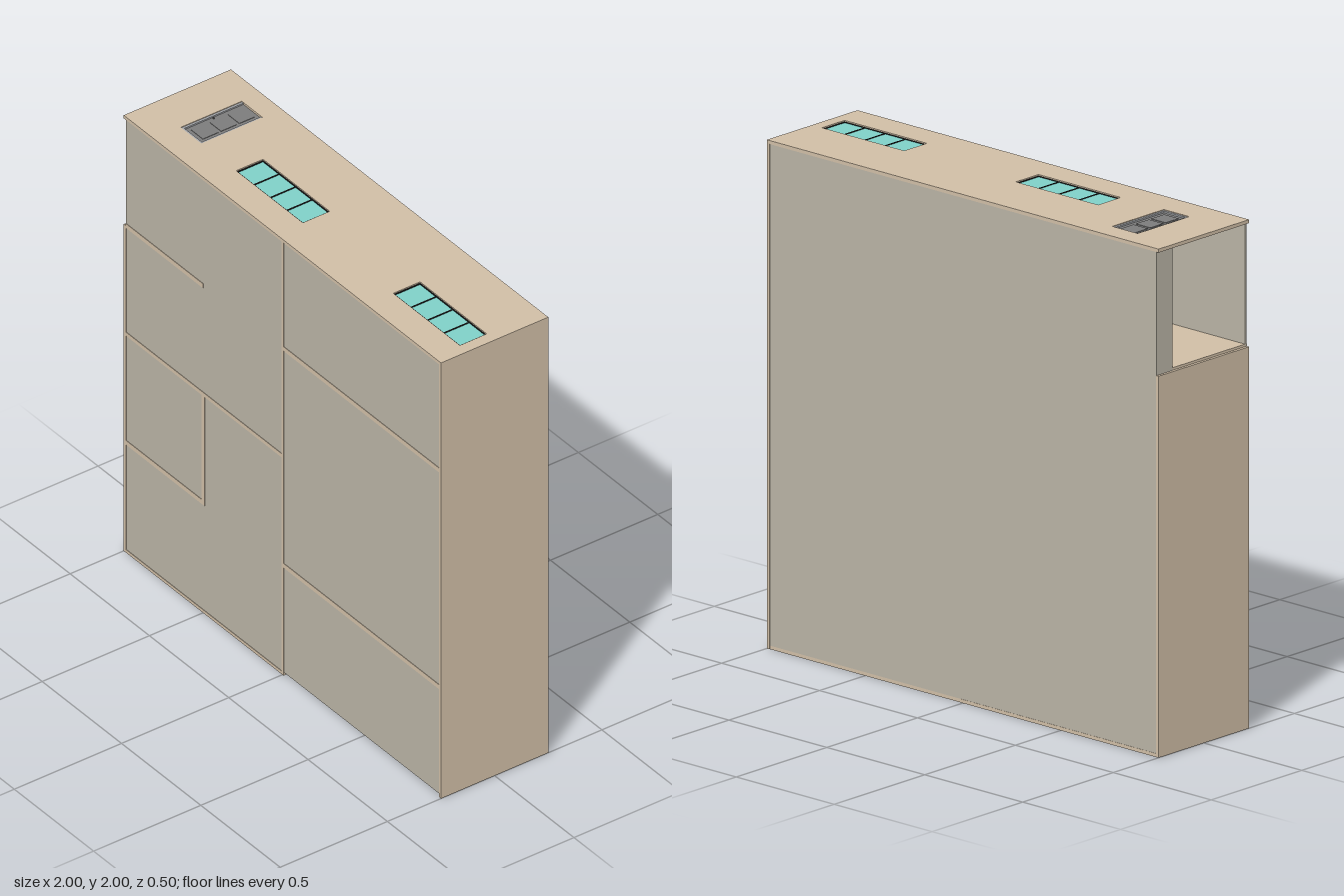
import * as THREE from 'three';

const mat = (color) => new THREE.MeshStandardMaterial({ color });
const TAN = mat(0xd0bea6), STONE = mat(0xb9b3a5), TEAL = mat(0x7fd0c8);
const BLACK = mat(0x151515), GREY = mat(0x7c7c7c), PALE = mat(0xa4a7ab), DARK = mat(0x4a4a4a);
const T = 0.014; // wall thickness

export function createModel() {
  const model = new THREE.Group();

  // Box given by its extents on each axis
  function box(name, x0, x1, y0, y1, z0, z1, material, parent = model) {
    const mesh = new THREE.Mesh(new THREE.BoxGeometry(x1 - x0, y1 - y0, z1 - z0), material);
    mesh.position.set((x0 + x1) / 2, (y0 + y1) / 2, (z0 + z1) / 2);
    mesh.name = name;
    parent.add(mesh);
    return mesh;
  }

  // Horizontal slab with rectangular openings [x0, x1, z0, z1]
  function facade(name, x0, x1, top, openings) {
    const rect = (C, a, b, c, d) => {
      const p = new C();
      p.moveTo(a, c); p.lineTo(b, c); p.lineTo(b, d); p.lineTo(a, d); p.closePath();
      return p;
    };
    const shape = rect(THREE.Shape, x0, x1, -0.25, 0.25);
    openings.forEach((o) => shape.holes.push(rect(THREE.Path, ...o)));
    const geo = new THREE.ExtrudeGeometry(shape, { depth: T, bevelEnabled: false });
    geo.rotateX(Math.PI / 2);
    const mesh = new THREE.Mesh(geo, TAN);
    mesh.position.y = top;
    mesh.name = name;
    model.add(mesh);
  }

  // Glazed window with four panes, set into a facade opening
  function windowUnit([x0, x1, z0, z1], yMid) {
    const g = new THREE.Group();
    g.name = 'window';
    box('glass', x0, x1, yMid - 0.002, yMid + 0.002, z0, z1, TEAL, g);
    for (let i = 0; i <= 4; i++) {
      const x = x0 + 0.003 + (x1 - x0 - 0.006) * i / 4;
      box('mullion', x - 0.003, x + 0.003, yMid - 0.004, yMid + 0.004, z0, z1, BLACK, g);
    }
    for (const z of [z0, z1 - 0.005])
      box('windowRail', x0, x1, yMid - 0.004, yMid + 0.004, z, z + 0.005, BLACK, g);
    model.add(g);
  }

  // Upper facade: two windows and a door
  const upper = [[-0.46, -0.04, 0, 0.125], [0.53, 0.95, 0, 0.125]];
  const doorway = [-0.81, -0.68, -0.16, 0.125];
  facade('upperFacade', -1, 1, 2, [...upper, doorway]);
  upper.forEach((o) => windowUnit(o, 1.991));

  // Lower facade: two tall windows on one half, open balcony on the other
  const lower = [[-0.46, -0.04, -0.14, 0.13], [-0.96, -0.54, -0.14, 0.13]];
  facade('lowerFacade', -1, 0.007, T, lower);
  lower.forEach((o) => windowUnit(o, 0.007));

  // Panelled door with frame and knob
  const door = new THREE.Group();
  door.name = 'door';
  box('doorLeaf', -0.80, -0.69, 1.986, 1.991, -0.16, 0.115, GREY, door);
  box('doorJamb', -0.81, -0.80, 1.985, 1.997, -0.16, 0.125, PALE, door);
  box('doorJamb', -0.69, -0.68, 1.985, 1.997, -0.16, 0.125, PALE, door);
  box('doorHead', -0.80, -0.69, 1.985, 1.997, 0.115, 0.125, PALE, door);
  for (const z of [-0.145, -0.06, 0.025])
    box('doorPanel', -0.782, -0.708, 1.991, 1.993, z, z + 0.072, GREY, door);
  const knob = new THREE.Mesh(new THREE.SphereGeometry(0.004, 10, 8), DARK);
  knob.position.set(-0.792, 1.994, -0.015);
  knob.name = 'doorKnob';
  door.add(knob);
  model.add(door);

  // Side walls; one stops short to leave an opening
  box('leftWall', 1 - T, 1, 0, 2 - T, -0.25, 0.25, TAN);
  box('rightWall', -1, -1 + T, T, 1.5, -0.25, 0.25, TAN);

  // Thick slab at the back, thin panel at the front
  box('backSlab', -0.989, 1 - T, T, 2 - T, -0.249, -0.16, STONE);
  box('balconySlabEdge', 0.007, 1 - T, 0, T, -0.249, -0.16, TAN);
  box('frontPanel', -0.989, 1 - T, T, 2 - T, 0.24, 0.248, STONE);

  // Partitions dividing the rooms: [x0, x1, y0, y1]
  [
    [-0.007, 0.007, T, 2 - T],
    [-0.988, -0.5, 1.49, 1.51],
    [-0.986, -0.007, 0.995, 1.012],
    [-0.986, -0.49, 0.495, 0.515],
    [-0.51, -0.49, 0.515, 0.995],
    [0.007, 0.986, 1.49, 1.51],
    [0.007, 0.986, 0.495, 0.515],
  ].forEach(([a, b, c, d]) => box('partition', a, b, c, d, -0.2, 0.25, TAN));

  // Balcony railing
  const railing = new THREE.Group();
  railing.name = 'railing';
  for (const z of [-0.155, 0.013])
    box('rail', 0.007, 1 - T, 0.001, 0.012, z, z + 0.007, DARK, railing);
  for (let i = 0; i <= 36; i++) {
    const x = 0.014 + i * 0.0265;
    box('baluster', x - 0.002, x + 0.002, 0.004, 0.009, -0.15, 0.016, DARK, railing);
  }
  model.add(railing);

  return model;
}
